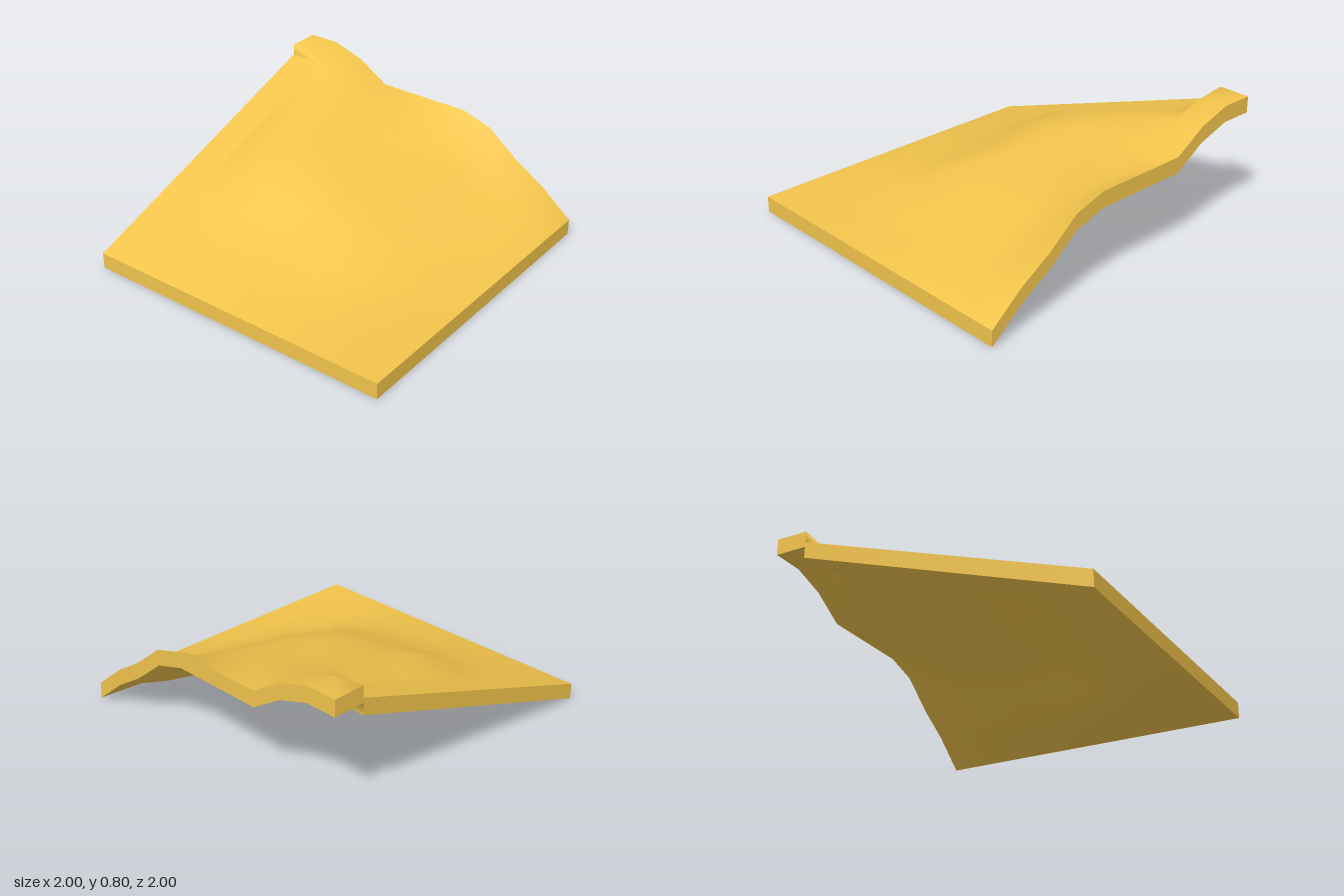
import * as THREE from 'three';
import { mergeVertices, toCreasedNormals } from 'three/addons/utils/BufferGeometryUtils.js';

const THICK = 0.1;
const NZ = 10;
const RAMP_ROW = 9; // the straight back ramp starts at this row

// Height of the underside: one cross-section per row, from front to back.
const profileX = [-1, -0.6, -0.4, -0.2, 0, 0.4, 0.8, 1];
const rows = [
  [0, 0, 0, 0, 0, 0, 0, 0],
  [0, 0.008, 0.012, 0.018, 0.027, 0.06, 0.115, 0.165],
  [0, 0.018, 0.027, 0.04, 0.06, 0.115, 0.195, 0.29],
  [0, 0.035, 0.06, 0.115, 0.187, 0.25, 0.325, 0.45],
  [0, 0.07, 0.14, 0.23, 0.262, 0.325, 0.4, 0.51],
  [0, 0.09, 0.16, 0.25, 0.31, 0.35, 0.43, 0.51],
  [0, 0.105, 0.18, 0.275, 0.36, 0.405, 0.487, 0.51],
  [0, 0.12, 0.2, 0.31, 0.385, 0.46, 0.52, 0.51],
  [0, 0.135, 0.207, 0.335, 0.414, 0.517, 0.61, 0.635],
];

// Eleven columns, with a second one on the step line for the raised corner.
const columns = [];
for (let i = 0; i <= 9; i++) columns.push({ x: -1 + i * 0.2, corner: false });
columns.push({ x: 0.8, corner: true }, { x: 1, corner: true });
const NX = columns.length - 1;

function height({ x, corner }, row) {
  if (row >= rows.length) {
    // straight ramp along the back, with a raised flat corner
    if (!corner) return 0.35 * (x + 1);
    return x < 0.9 && row === RAMP_ROW ? 0.675 : 0.7;
  }
  const h = rows[row];
  let k = 0;
  while (k < profileX.length - 2 && x > profileX[k + 1]) k++;
  const t = (x - profileX[k]) / (profileX[k + 1] - profileX[k]);
  return THREE.MathUtils.lerp(h[k], h[k + 1], t);
}

const point = ([i, j], lift) =>
  new THREE.Vector3(columns[i].x, height(columns[i], j) + lift, 1 - j * 0.2);

// Geometry from four-cornered faces, leaving out triangles without area.
function facesGeometry(faces) {
  const positions = [];
  for (const [a, b, c, d] of faces) {
    for (const tri of [[a, b, c], [a, c, d]]) {
      if (new THREE.Triangle(...tri).getArea() < 1e-6) continue;
      for (const p of tri) positions.push(p.x, p.y, p.z);
    }
  }
  const geometry = new THREE.BufferGeometry();
  geometry.setAttribute('position', new THREE.Float32BufferAttribute(positions, 3));
  return geometry;
}

// Smooth sheet over the grid cells chosen by the test, facing up or down.
function sheetGeometry(lift, includes) {
  const faces = [];
  for (let i = 0; i < NX; i++) {
    for (let j = 0; j < NZ; j++) {
      if (!includes(i, j)) continue;
      const face = [[i, j], [i + 1, j], [i + 1, j + 1], [i, j + 1]].map((c) => point(c, lift));
      faces.push(lift > 0 ? face : face.reverse());
    }
  }
  const geometry = mergeVertices(facesGeometry(faces));
  geometry.computeVertexNormals();
  return geometry;
}

// Rim walls, walked anticlockwise as seen from above.
function rimGeometry() {
  const rim = [];
  for (let i = 0; i < NX; i++) rim.push([i, 0]);
  for (let j = 0; j < NZ; j++) rim.push([NX, j]);
  for (let i = NX; i > 0; i--) rim.push([i, NZ]);
  for (let j = NZ; j > 0; j--) rim.push([0, j]);
  const faces = rim.map((p, n) => {
    const q = rim[(n + 1) % rim.length];
    return [point(p, 0), point(q, 0), point(q, THICK), point(p, THICK)];
  });
  return toCreasedNormals(facesGeometry(faces), 0.7);
}

export function createModel() {
  const group = new THREE.Group();
  group.name = 'terrainTile';
  const material = new THREE.MeshStandardMaterial({ color: 0xf2c44c });
  const add = (name, geometry) => {
    const mesh = new THREE.Mesh(geometry, material);
    mesh.name = name;
    group.add(mesh);
  };

  // the ramp is shaded apart from the hillside and its raised corner
  const isRamp = (i, j) => j >= RAMP_ROW && i < 9;
  const isHill = (i, j) => !isRamp(i, j);
  add('hillsideTop', sheetGeometry(THICK, isHill));
  add('hillsideUnderside', sheetGeometry(0, isHill));
  add('backRampTop', sheetGeometry(THICK, isRamp));
  add('backRampUnderside', sheetGeometry(0, isRamp));
  add('rim', rimGeometry());
  return group;
}
